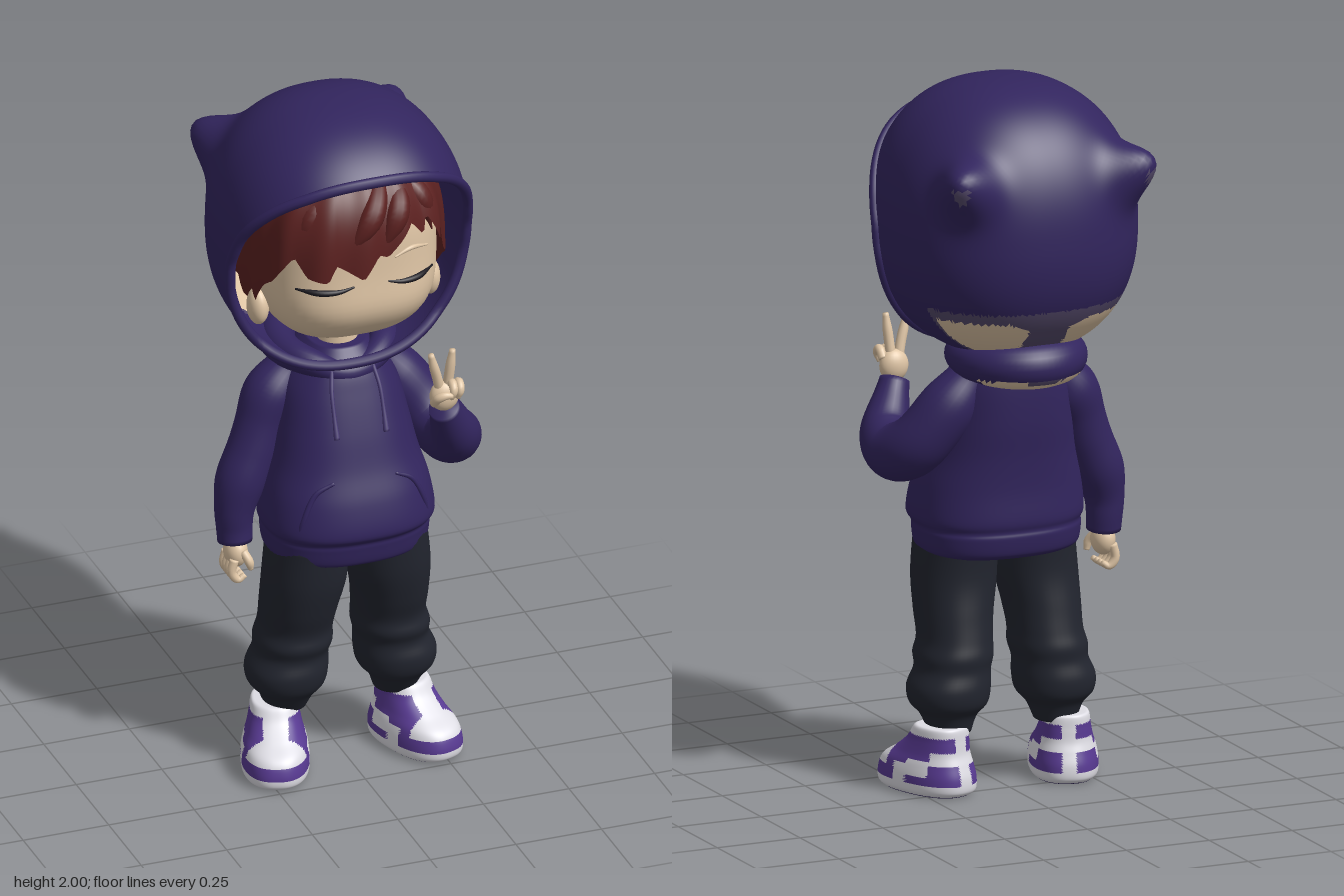
import * as THREE from 'three';

const V = (x, y, z) => new THREE.Vector3(x, y, z);
const mat = (name, color, side = THREE.FrontSide) => {
  const m = new THREE.MeshStandardMaterial({ color, side });
  m.name = name;
  return m;
};

// Catmull-Rom sampling of rows of numbers, t in 0..1
function sample(rows, t) {
  const f = t * (rows.length - 1), i = Math.min(Math.floor(f), rows.length - 2), u = f - i;
  const at = k => rows[Math.max(0, Math.min(rows.length - 1, k))];
  return at(i).map((b, k) => {
    const a = at(i - 1)[k], c = at(i + 1)[k], d = at(i + 2)[k];
    return b + 0.5 * u * (c - a + u * (2 * a - 5 * b + 4 * c - d + u * (3 * (b - c) + d - a)));
  });
}
// Linear lookup in [key, value] rows
function lookup(rows, k) {
  let i = 0;
  while (i < rows.length - 2 && rows[i + 1][0] < k) i++;
  const [a, b] = [rows[i], rows[i + 1]];
  return a[1] + (b[1] - a[1]) * (k - a[0]) / (b[0] - a[0]);
}
// Surface closed in i (nu steps), open in j (nv steps)
function grid(nu, nv, fn) {
  const pos = [], idx = [];
  for (let j = 0; j <= nv; j++) for (let i = 0; i < nu; i++) pos.push(...fn(i / nu, j / nv, j).toArray());
  for (let j = 0; j < nv; j++) for (let i = 0; i < nu; i++) {
    const n = (i + 1) % nu, a = j * nu + i, b = j * nu + n, c = b + nu, d = a + nu;
    idx.push(a, b, c, a, c, d);
  }
  const g = new THREE.BufferGeometry();
  g.setAttribute('position', new THREE.Float32BufferAttribute(pos, 3));
  g.setIndex(idx);
  g.computeVertexNormals();
  return g;
}
const pw = (c, e) => Math.sign(c) * Math.abs(c) ** e;
// Stacked rings: rows of [y, centre x, half width, z front, z back]
function loft(rows, n = 2.3, nu = 48, nv = 50) {
  return grid(nu, nv, (u, v, j) => {
    const t = Math.max(0, Math.min(1, (j - 1) / (nv - 2)));
    const [y, cx, rx, zf, zb] = sample(rows, t), k = j === 0 || j === nv ? 0 : 1, a = u * Math.PI * 2;
    return V(cx + k * rx * pw(Math.cos(a), 2 / n), y, (zf + zb) / 2 - k * (zf - zb) / 2 * pw(Math.sin(a), 2 / n));
  });
}
// Tube of changing radius along points
function sweep(pts, radii, nu = 20, nv = 30) {
  const curve = new THREE.CatmullRomCurve3(pts.map(p => V(...p))), fr = curve.computeFrenetFrames(nv);
  const rr = radii.map(r => [r]);
  return grid(nu, nv, (u, v, j) => {
    const t = Math.max(0, Math.min(1, (j - 1) / (nv - 2))), a = u * Math.PI * 2;
    const r = j === 0 || j === nv ? 0 : sample(rr, t)[0];
    return curve.getPointAt(t).addScaledVector(fr.normals[j], r * Math.cos(a)).addScaledVector(fr.binormals[j], r * Math.sin(a));
  });
}
// Sort faces into material groups by the position of their centre
function paint(g, rule, count) {
  const p = g.attributes.position, src = g.index.array, sets = Array.from({ length: count }, () => []);
  for (let f = 0; f < src.length; f += 3) {
    const t = [src[f], src[f + 1], src[f + 2]], c = V(0, 0, 0);
    t.forEach(k => c.add(V(p.getX(k), p.getY(k), p.getZ(k)).divideScalar(3)));
    sets[rule(c)].push(...t);
  }
  g.setIndex(sets.flat());
  let start = 0;
  sets.forEach((s, k) => { g.addGroup(start, s.length, k); start += s.length; });
  return g;
}
// Super-ellipsoid radius in direction d
const radius = (d, a, bu, bd, cf, cb, n) =>
  (Math.abs(d.x / a) ** n + Math.abs(d.y / (d.y > 0 ? bu : bd)) ** n + Math.abs(d.z / (d.z > 0 ? cf : cb)) ** n) ** (-1 / n);

export function createModel() {
  const root = new THREE.Group();
  const hoodie = mat('hoodie', 0x32255e, THREE.DoubleSide), lining = mat('faded hoodie', 0x554a6b, THREE.DoubleSide);
  const skin = mat('skin', 0xe0c6a6, THREE.DoubleSide), hairMat = mat('hair', 0x5c2120, THREE.DoubleSide);
  const lash = mat('lash', 0x1b1920), pants = mat('pants', 0x22252f), white = mat('shoe white', 0xdedde4);
  const purple = mat('shoe purple', 0x583a92), cord = mat('cord', 0x43356f);
  const add = (name, geo, m, parent = root) => {
    const mesh = new THREE.Mesh(geo, m);
    mesh.name = name;
    parent.add(mesh);
    return mesh;
  };
  const ball = (name, m, c, s, parent = root) => {
    const b = add(name, new THREE.SphereGeometry(1, 24, 16), m, parent);
    b.position.set(...c);
    b.scale.set(...s);
    return b;
  };

  // Head, with fuller cheeks
  const bulge = y => 0.02 * Math.exp(-(((y - 1.45) / 0.08) ** 2));
  add('head', grid(64, 48, (u, v) => {
    const a = u * Math.PI * 2, t = v * Math.PI;
    const d = V(Math.sin(t) * Math.cos(a), -Math.cos(t), -Math.sin(t) * Math.sin(a));
    const p = d.clone().multiplyScalar(radius(d, 0.255, 0.3, 0.28, 0.275, 0.26, 2.8)).add(V(0, 1.6, 0.02));
    p.z += bulge(p.y) * Math.max(0, d.z);
    return p;
  }), skin);
  const faceZ = (x, y) => 0.02 + 0.275 * Math.max(0, 1 - Math.abs(x / 0.255) ** 2.8 - Math.abs((y - 1.6) / 0.28) ** 2.8) ** (1 / 2.8) + bulge(y) * 0.9;
  add('neck', new THREE.CylinderGeometry(0.055, 0.06, 0.22, 24).translate(0, 1.27, 0.03), skin);
  for (const s of [-1, 1]) {
    ball('ear', skin, [s * 0.25, 1.43, 0.08], [0.03, 0.055, 0.04]);
    const line = (name, xs, ys, r, m) => add(name, sweep(xs.map((x, i) => [s * x, ys[i], faceZ(x, ys[i]) + 0.001]), r, 8, 20), m);
    line('closedEye', [0.05, 0.09, 0.14, 0.2], [1.557, 1.547, 1.545, 1.55], [0.003, 0.008, 0.009, 0.003], lash);
    line('eyebrow', [0.07, 0.12, 0.18], [1.625, 1.64, 1.625], [0.003, 0.007, 0.003], skin);
  }

  // Hair cap with a jagged fringe: [azimuth, polar angle of the hem]
  const hem = [[-180, 95], [-110, 118], [-80, 128], [-64, 104], [-55, 97], [-42, 80], [-35, 90], [-24, 92], [-20, 83],
    [-6, 92], [3, 80], [8, 82], [22, 67], [30, 76], [33, 66], [42, 84], [46, 75], [56, 96], [66, 104], [80, 128], [110, 118], [180, 95]];
  add('hair', grid(200, 36, (u, v) => {
    const deg = u * 360 - 180, a = deg * Math.PI / 180, t = v * lookup(hem, deg) * Math.PI / 180;
    const d = V(Math.sin(t) * Math.sin(a), Math.cos(t), Math.sin(t) * Math.cos(a));
    const r = radius(d, 0.275, 0.31, 0.31, 0.305, 0.28, 2.7) + 0.006 * v * Math.sin(a * 16 + v * 3);
    return d.multiplyScalar(r).add(V(0, 1.6, 0.02));
  }).scale(1, 1, 1), hairMat);
  const locks = [[[0.06, 1.86, 0.2], [0, 1.76, 0.295], [-0.09, 1.64, 0.295]], [[0.1, 1.84, 0.2], [0.08, 1.76, 0.285], [0.015, 1.64, 0.305]],
    [[0.1, 1.84, 0.18], [0.16, 1.77, 0.235], [0.2, 1.66, 0.235]], [[-0.06, 1.85, 0.18], [-0.15, 1.76, 0.235], [-0.21, 1.62, 0.205]]];
  locks.forEach(p => add('hairLock', sweep(p, [0.02, 0.035, 0.002], 14, 20), hairMat));

  // Hood: shell from the back pole to the face opening, with two pointed ears
  const rimAngle = [[-1, 110], [-0.7, 103], [-0.3, 102], [0, 105], [0.3, 112], [0.58, 122], [0.8, 130], [1, 136]];
  const horns = [-1, 1].map(s => V(s * 0.6, 0.42, -0.68).normalize());
  const hoodPoint = (u, v) => {
    const a = u * Math.PI * 2, t = v * lookup(rimAngle, Math.sin(a)) * Math.PI / 180;
    const d = V(-Math.sin(t) * Math.cos(a), Math.sin(t) * Math.sin(a), -Math.cos(t));
    let r = radius(d, 0.35, 0.4, 0.37, 0.385, 0.36, 2.3);
    for (const h of horns) r += 0.105 * Math.exp(-((d.angleTo(h) / 0.18) ** 2));
    return d.multiplyScalar(r).add(V(0, 1.6, 0.03));
  };
  const hoodGeo = grid(144, 80, (u, v) => hoodPoint(u, v));
  add('hood', paint(hoodGeo, c => {
    if (c.y < 1.38 && c.z < -0.11 && c.z > -0.26 && Math.abs(c.x) > 0.06) return 2;
    if (c.y < 1.41 && c.z < -0.1) return 1;
    return Math.abs(c.x) > 0.27 && c.z < -0.285 && c.y < 1.785 && c.y > 1.74 ? 1 : 0;
  }, 3), [hoodie, lining, skin]);
  const rim = Array.from({ length: 48 }, (_, i) => hoodPoint(i / 48, 1));
  add('hoodRim', new THREE.TubeGeometry(new THREE.CatmullRomCurve3(rim, true), 120, 0.015, 10, true), hoodie);

  // Folded collar at the base of the hood, thicker at the back
  const collar = grid(72, 24, (u, v) => {
    const a = u * Math.PI * 2, b = -v * Math.PI * 2 + Math.PI, f = Math.sin(a), back = (1 - f) / 2;
    const r = 0.035 + 0.03 * back, w = 1 + Math.cos(b) * r / 0.15;
    return V(0.145 * Math.cos(a) * w, 1.235 + r * Math.sin(b) - 0.03 * Math.max(0, f) ** 6, -0.025 + 0.155 * f * w);
  });
  add('collar', paint(collar, c => (c.y < 1.2 && c.z < -0.13 ? (c.z > -0.225 ? 2 : 1) : 0), 3), [hoodie, lining, skin]);

  // Sweater body with ribbed hem
  const body = [[0.665, 0, 0.2, 0.245, -0.07], [0.68, 0, 0.225, 0.265, -0.09], [0.725, 0, 0.232, 0.275, -0.1], [0.745, 0, 0.232, 0.278, -0.098],
    [0.775, 0, 0.242, 0.298, -0.105], [0.86, 0, 0.23, 0.282, -0.105], [0.95, 0, 0.205, 0.25, -0.112], [1.05, 0, 0.185, 0.22, -0.125],
    [1.15, 0, 0.162, 0.185, -0.13], [1.22, 0, 0.12, 0.155, -0.125], [1.27, 0, 0.08, 0.11, -0.1]];
  add('sweater', loft(body, 2.4, 64, 70), hoodie);
  const bodyZ = (x, y) => {
    const row = [2, 3, 4].map(k => lookup(body.map(r => [r[0], r[k]]), y)), c = (row[1] + row[2]) / 2;
    return c + (row[1] - c) * Math.max(0, 1 - Math.abs(x / row[0]) ** 2.4) ** (1 / 2.4);
  };
  for (const s of [-1, 1]) {
    const pocket = [[0.09, 0.93], [0.14, 0.9], [0.175, 0.83], [0.19, 0.76]];
    add('pocketSeam', sweep(pocket.map(([x, y]) => [s * x, y, bodyZ(x, y)]), [0.005, 0.008, 0.008, 0.005], 8), hoodie);
    const string = [[0.06, 1.225], [0.07, 1.17], [0.072, 1.11], [0.072, 1.05]];
    add('drawstring', sweep(string.map(([x, y]) => [s * x, y, bodyZ(x, y) + 0.01]), [0.006, 0.006, 0.006, 0.009], 8), cord);
  }

  // Sleeves: one hanging, one bent up
  add('rightSleeve', sweep([[-0.12, 1.18, -0.01], [-0.185, 1.1, 0], [-0.24, 0.96, 0.015], [-0.285, 0.85, 0.025], [-0.3, 0.78, 0.03], [-0.3, 0.735, 0.03], [-0.3, 0.69, 0.035]],
    [0.06, 0.078, 0.07, 0.07, 0.07, 0.055, 0.048], 28, 48), hoodie);
  add('leftSleeve', sweep([[0.12, 1.18, -0.01], [0.19, 1.09, 0], [0.265, 0.985, 0.045], [0.29, 0.955, 0.12], [0.285, 0.99, 0.19], [0.25, 1.06, 0.235], [0.225, 1.115, 0.26]],
    [0.06, 0.08, 0.082, 0.084, 0.078, 0.06, 0.042], 28, 48), hoodie);

  // Hanging hand with curled fingers
  const right = new THREE.Group(), left = new THREE.Group();
  right.name = 'rightHand';
  left.name = 'leftHand';
  root.add(right, left);
  const finger = (pts, r, parent) => add('finger', sweep(pts, [r, r, r * 0.95, r * 0.6], 12, 18), skin, parent);
  ball('palm', skin, [-0.3, 0.66, 0.04], [0.033, 0.045, 0.042], right);
  for (let i = 0; i < 4; i++) {
    const z = 0.008 + i * 0.021;
    finger([[-0.315, 0.65, z], [-0.322, 0.61, z], [-0.305, 0.588, z + 0.003], [-0.285, 0.6, z + 0.004]], 0.0125, right);
  }
  finger([[-0.29, 0.67, 0.07], [-0.278, 0.645, 0.085], [-0.272, 0.62, 0.085]], 0.013, right);

  // Raised hand with two fingers up
  ball('palm', skin, [0.225, 1.155, 0.265], [0.042, 0.046, 0.03], left);
  finger([[0.212, 1.17, 0.265], [0.2, 1.22, 0.272], [0.188, 1.26, 0.277], [0.18, 1.295, 0.28]], 0.014, left);
  finger([[0.232, 1.17, 0.265], [0.236, 1.22, 0.272], [0.24, 1.265, 0.277], [0.243, 1.3, 0.28]], 0.014, left);
  for (const x of [0.238, 0.257])
    finger([[x, 1.175, 0.265], [x + 0.002, 1.2, 0.285], [x, 1.185, 0.305], [x - 0.006, 1.16, 0.3]], 0.0125, left);
  finger([[0.192, 1.14, 0.275], [0.195, 1.165, 0.298], [0.215, 1.175, 0.308], [0.232, 1.172, 0.31]], 0.013, left);

  // Trousers and shoes
  for (const s of [-1, 1]) {
    const leg = [[0.72, 0.115, 0.105, 0.245, -0.04], [0.6, 0.122, 0.112, 0.232, -0.03], [0.5, 0.132, 0.104, 0.205, -0.04], [0.43, 0.136, 0.1, 0.18, -0.05],
      [0.385, 0.142, 0.106, 0.182, -0.058], [0.345, 0.147, 0.102, 0.168, -0.055], [0.295, 0.158, 0.112, 0.175, -0.062], [0.25, 0.16, 0.105, 0.165, -0.055],
      [0.215, 0.16, 0.075, 0.14, -0.03], [0.17, 0.16, 0.058, 0.11, -0.015]].reverse();
    add('trouserLeg', loft(leg.map(([y, x, ...r]) => [y, s * x, ...r]), 2.2), pants);
    const shoe = [[0, 0, 0.08, 0.145, -0.13], [0.015, 0, 0.093, 0.165, -0.147], [0.05, 0, 0.094, 0.165, -0.148], [0.085, 0, 0.088, 0.148, -0.138],
      [0.115, 0, 0.078, 0.1, -0.128], [0.15, 0, 0.07, 0.055, -0.125], [0.185, 0, 0.064, 0.03, -0.122], [0.19, 0, 0.05, 0.015, -0.108]];
    const pattern = ({ x, y, z }) => {
      if (y < 0.003) return 2;
      if (y < 0.035 || y > 0.165) return 0;
      if (z > 0.085) return y < 0.07 ? 1 : 0;
      if (z > 0) return Math.abs(x) < 0.035 || (y < 0.085 && z < 0.05) ? 0 : 1;
      if (z > -0.075) return y > 0.1 || y < 0.055 ? 1 : 0;
      return Math.abs(x) < 0.02 || (y > 0.09 && y < 0.125) ? 0 : 1;
    };
    const mesh = add('shoe', paint(loft(shoe, 2.4, 96, 60), pattern, 3), [white, purple, hoodie]);
    mesh.position.set(s * 0.202, 0, 0.085);
    mesh.rotation.y = s * 0.32;
  }
  return root;
}
